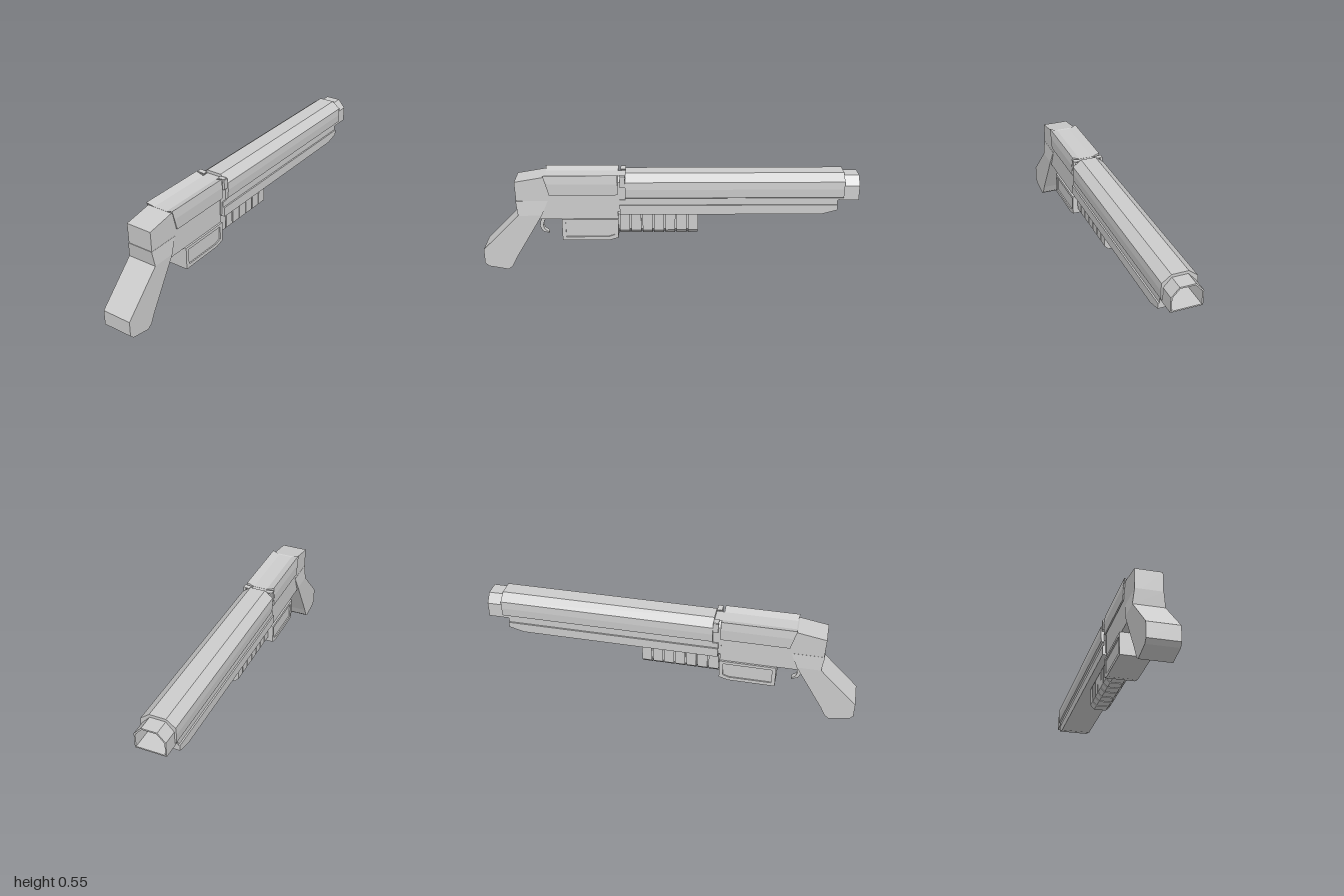
import * as THREE from 'three';

const material = new THREE.MeshStandardMaterial({ color: 0xcccccc, flatShading: true, side: THREE.DoubleSide });
const toShape = (pts) => new THREE.Shape(pts.map(([a, b]) => new THREE.Vector2(a, b)));

// Closed outline, symmetric in x, from its right half listed top to bottom
const mirrored = (half) => [...half, ...half.slice().reverse().map(([x, y]) => [-x, y])];

export function createModel() {
  const model = new THREE.Group();

  const add = (name, geometry, parent = model) => {
    const mesh = new THREE.Mesh(geometry, material);
    mesh.name = name;
    parent.add(mesh);
    return mesh;
  };

  // Outline in (x, y) swept from z0 to z1, with an optional hole
  const alongZ = (pts, z0, z1, hole) => {
    const shape = toShape(pts);
    if (hole) shape.holes.push(toShape(hole));
    return new THREE.ExtrudeGeometry(shape, { depth: z1 - z0, bevelEnabled: false }).translate(0, 0, z0);
  };

  // Side profile in (z, y) swept from x0 to x1
  const alongX = (pts, x0, x1, hole) => {
    const shape = toShape(pts);
    if (hole) shape.holes.push(toShape(hole));
    return new THREE.ExtrudeGeometry(shape, { depth: x1 - x0, bevelEnabled: false })
      .rotateY(-Math.PI / 2).translate(x1, 0, 0);
  };

  // Move vertices by a rule
  const reshape = (geometry, rule) => {
    const p = geometry.attributes.position;
    const v = new THREE.Vector3();
    for (let i = 0; i < p.count; i++) {
      rule(v.fromBufferAttribute(p, i));
      p.setXYZ(i, v.x, v.y, v.z);
    }
    geometry.computeVertexNormals();
    return geometry;
  };

  // Grip, slightly wider than the receiver, with a tapering shoulder
  add('grip', alongX([
    [0.8, 0.32], [1, 0.12], [1, 0.04], [0.98, 0.02], [0.875, 0], [0.85, 0.02], [0.825, 0.07], [0.675, 0.32],
  ], -0.08, 0.08));
  add('gripShoulder', reshape(
    alongX([[0.81, 0.4], [0.8, 0.32], [0.675, 0.32], [0.64, 0.4]], -0.08, 0.08),
    (v) => { if (v.y > 0.36) v.x *= 0.071 / 0.08; },
  ));

  // Receiver with a sloping back
  add('receiver', alongX([
    [0.806, 0.37], [0.81, 0.507], [0.66, 0.533], [0.64, 0.526], [0.27, 0.526], [0.27, 0.297], [0.69, 0.297],
  ], -0.07, 0.07));

  // Dished cover over the receiver, its rear edge swept back
  add('receiverCover', reshape(
    alongZ([
      [0.074, 0.437], [0.081, 0.437], [0.083, 0.5], [0.078, 0.546], [0.037, 0.531],
      [-0.037, 0.531], [-0.078, 0.546], [-0.083, 0.5], [-0.081, 0.437], [-0.074, 0.437],
      [-0.071, 0.524], [0.071, 0.524],
    ], 0.27, 0.66),
    (v) => { if (v.z > 0.5) v.z -= Math.min(0.03, (0.546 - v.y) * 0.5); },
  ));

  // Neck between receiver and barrel, with a clamp on each side
  add('neck', alongZ(mirrored([[0.04, 0.53], [0.072, 0.505], [0.072, 0.34]]), 0.22, 0.275));
  for (const side of [-1, 1]) {
    const clamp = add('barrelClamp', new THREE.BoxGeometry(0.012, 0.055, 0.027));
    clamp.position.set(side * 0.079, 0.508, 0.244);
    const clampTop = add('barrelClampTop', new THREE.BoxGeometry(0.04, 0.006, 0.027));
    clampTop.position.set(side * 0.063, 0.535, 0.244);
    clampTop.rotation.z = side * 0.1;
  }

  // Hollow barrel shroud and the muzzle that extends from it
  const bore = mirrored([[0.037, 0.523], [0.073, 0.482], [0.073, 0.412]]);
  add('barrelShroud', alongZ(mirrored([
    [0.042, 0.546], [0.088, 0.51], [0.09, 0.47], [0.087, 0.423], [0.079, 0.417], [0.079, 0.404],
  ]), -0.92, 0.23, bore));
  add('muzzle', alongZ(mirrored([[0.04, 0.531], [0.08, 0.486], [0.08, 0.405]]), -1, -0.9, bore));

  // Lower tube: a recessed strip above a wider body with a raked front
  add('recessedStrip', alongX([[0.26, 0.41], [-0.89, 0.41], [-0.89, 0.37], [0.26, 0.37]], -0.079, 0.079));
  add('lowerTube', alongX([
    [0.26, 0.38], [-0.89, 0.38], [-0.89, 0.35], [-0.81, 0.328], [0.26, 0.328],
  ], -0.087, 0.087));

  // Magazine box with a raised frame on each side
  const box = new THREE.Group();
  box.name = 'magazineBox';
  model.add(box);
  const boxProfile = [[0.57, 0.297], [0.57, 0.175], [0.32, 0.175], [0.27, 0.19], [0.27, 0.297]];
  const panel = [[0.55, 0.28], [0.55, 0.195], [0.325, 0.195], [0.29, 0.207], [0.29, 0.28]];
  add('boxBody', alongX(boxProfile, -0.073, 0.073), box);
  add('boxFrameLeft', alongX(boxProfile, 0.073, 0.08, panel), box);
  add('boxFrameRight', alongX(boxProfile, -0.08, -0.073, panel), box);

  // Ribbed foregrip
  const foregrip = new THREE.Group();
  foregrip.name = 'foregrip';
  model.add(foregrip);
  add('foregripCore', alongZ(mirrored([[0.046, 0.312], [0.046, 0.226], [0.028, 0.206]]), -0.15, 0.275), foregrip);
  const ribSection = mirrored([[0.055, 0.317], [0.055, 0.223], [0.033, 0.2]]);
  for (let i = 0; i < 7; i++) {
    const z = -0.155 + i * 0.0607;
    add('foregripRib', alongZ(ribSection, z, z + 0.053), foregrip);
  }

  // Curved trigger
  add('trigger', alongX([
    [0.67, 0.3], [0.692, 0.262], [0.698, 0.23], [0.685, 0.2], [0.65, 0.187],
    [0.65, 0.193], [0.672, 0.21], [0.68, 0.232], [0.672, 0.262], [0.645, 0.3],
  ], -0.015, 0.015));

  return model;
}
